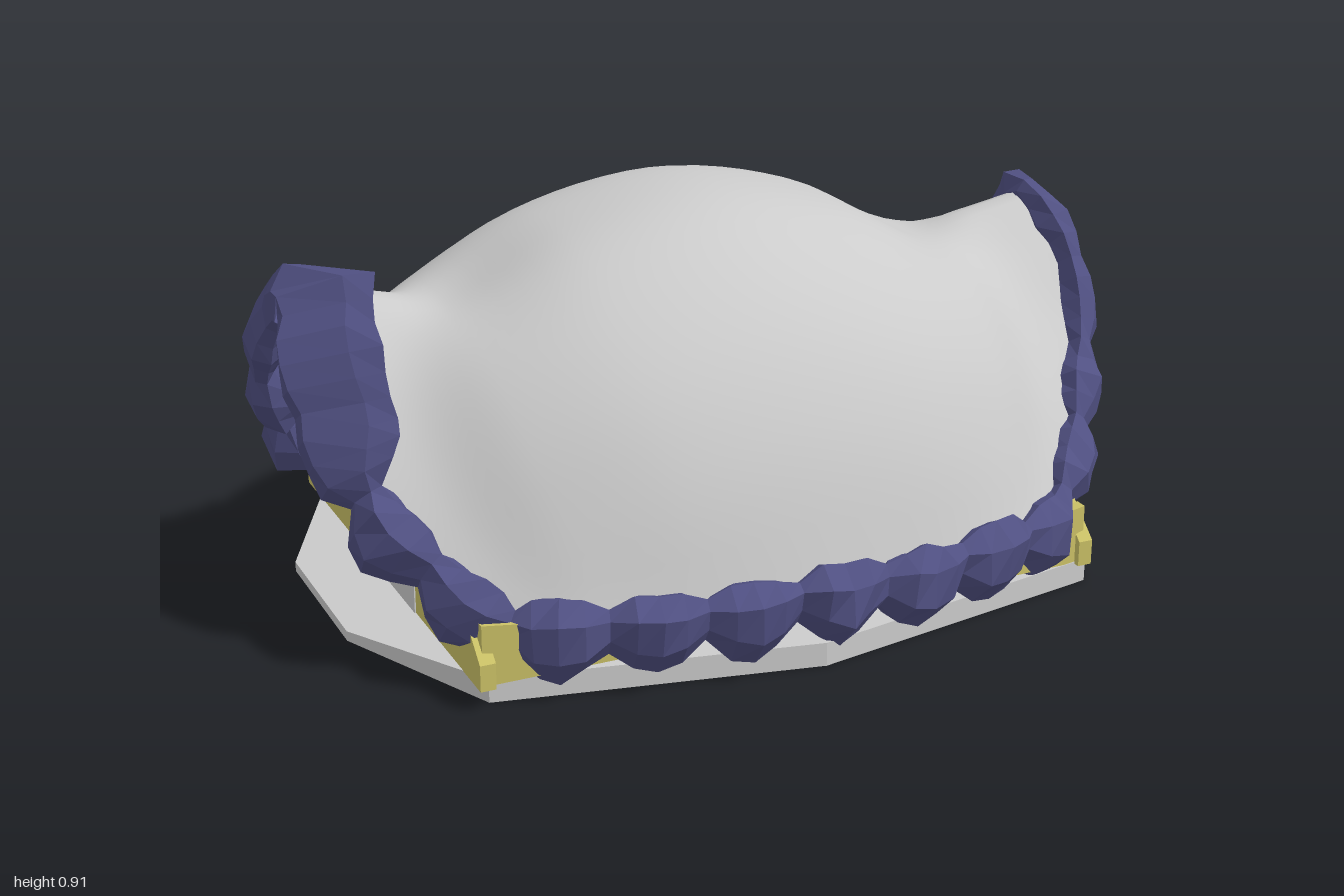
import * as THREE from 'three';
import { ConvexGeometry } from 'three/addons/geometries/ConvexGeometry.js';

const V = (x, y, z) => new THREE.Vector3(x, y, z);
const mat = (color, extra = {}) => new THREE.MeshStandardMaterial({ color, ...extra });

// Quarter of the canopy: arches from the middle to the flared end, each from ridge to foot
const ARCHES = [
  [[0, .92, 0], [0, .895, .2], [0, .81, .37], [0, .67, .52], [0, .47, .64], [0, .18, .73]],
  [[.33, .855, 0], [.33, .835, .2], [.33, .75, .37], [.32, .61, .52], [.3, .42, .63], [.27, .17, .71]],
  [[.6, .72, 0], [.6, .71, .16], [.59, .645, .32], [.57, .52, .46], [.53, .36, .57], [.48, .17, .665]],
  [[.76, .75, 0], [.76, .675, .13], [.76, .55, .27], [.73, .41, .41], [.67, .29, .52], [.58, .17, .63]],
  [[.91, .78, 0], [.94, .69, .12], [.93, .52, .24], [.87, .37, .37], [.79, .27, .47], [.67, .17, .58]],
];
// Mirrored control net, i = -4..4 along x, j = -5..5 along z
const net = (i, j) => {
  const [x, y, z] = ARCHES[Math.abs(i)][Math.abs(j)];
  return V(Math.sign(i) * x, y, Math.sign(j) * z);
};
const range = (a, b) => Array.from({ length: Math.abs(b - a) + 1 }, (_, k) => a + Math.sign(b - a) * k);

// Indexed surface from rows of points; wrap closes both directions
function gridGeometry(rows, wrap) {
  const n = rows.length, m = rows[0].length, index = [];
  const id = (r, c) => (r % n) * m + (c % m);
  for (let r = 0; r < (wrap ? n : n - 1); r++) {
    for (let c = 0; c < (wrap ? m : m - 1); c++) {
      index.push(id(r, c), id(r, c + 1), id(r + 1, c));
      index.push(id(r, c + 1), id(r + 1, c + 1), id(r + 1, c));
    }
  }
  const g = new THREE.BufferGeometry().setFromPoints(rows.flat());
  g.setIndex(index);
  g.computeVertexNormals();
  return g;
}

function canopyGeometry() {
  const arches = range(-4, 4).map(i =>
    new THREE.CatmullRomCurve3(range(-5, 5).map(j => net(i, j))).getPoints(40));
  const lines = range(0, 40).map(k =>
    new THREE.CatmullRomCurve3(arches.map(a => a[k])).getPoints(48));
  return gridGeometry(range(0, 48).map(u => lines.map(l => l[u])), false);
}

// Underside that closes the gap between an end arch and the wall below it
function soffitGeometry(side) {
  const wallTop = [.49, .48, .43, .31, .22, .12];
  const js = range(-5, 5);
  const arch = new THREE.CatmullRomCurve3(js.map(j => net(4 * side, j)));
  const wall = new THREE.CatmullRomCurve3(js.map(j =>
    V(.73 * side, wallTop[Math.abs(j)], net(4, j).z)));
  return gridGeometry([arch.getPoints(40), wall.getPoints(40)], false);
}

// Lumpy edging that follows the whole canopy border
function rimGeometry() {
  let seed = 7;
  const rand = () => (seed = (seed * 16807) % 2147483647) / 2147483647;
  const path = new THREE.CatmullRomCurve3([
    ...range(-4, 4).map(i => net(i, 5)), ...range(4, -5).map(j => net(4, j)),
    ...range(3, -4).map(i => net(i, -5)), ...range(-4, 4).map(j => net(-4, j)),
  ], true);
  const lumps = 31, steps = 4, sides = 7, rows = [];
  for (let r = 0; r < lumps * steps; r++) {
    const s = r / (lumps * steps), p = path.getPointAt(s), t = path.getTangentAt(s);
    const out = p.clone().sub(V(0, .5, 0));
    out.addScaledVector(t, -out.dot(t)).normalize();
    const down = t.clone().cross(out);
    const high = THREE.MathUtils.smoothstep(p.y, .38, .55);
    const bump = Math.sin(Math.PI * (r % steps) / steps) * (1 - .65 * high);
    // The front half of the right end folds over the canopy
    const fold = p.x < 0 && p.z > 0 ? high : 0;
    p.addScaledVector(down, .015 + .02 * bump).addScaledVector(out, .025 * high - .01);
    rows.push(range(0, sides - 1).map(k => {
      const a = k / sides * Math.PI * 2, j = .85 + .3 * rand();
      const q = p.clone()
        .addScaledVector(out, Math.cos(a) * (.03 + .05 * bump) * j)
        .addScaledVector(down, Math.sin(a) * (.06 + .045 * bump) * j);
      q.addScaledVector(V(.12, .02, .07), fold * Math.max(0, -Math.sin(a)));
      q.y = Math.max(q.y, 0);
      return q;
    }));
  }
  return gridGeometry(rows, true);
}

// Flat panel drawn in (z, y) and extruded around x = 0
function panelGeometry(points, thickness) {
  const shape = new THREE.Shape(points.map(([z, y]) => new THREE.Vector2(-z, y)));
  const g = new THREE.ExtrudeGeometry(shape, { depth: thickness, bevelEnabled: false });
  return g.translate(0, 0, -thickness / 2).rotateY(Math.PI / 2);
}

export function createModel() {
  const model = new THREE.Group();
  const add = (name, geometry, material) => {
    const mesh = new THREE.Mesh(geometry, material);
    mesh.name = name;
    model.add(mesh);
    return mesh;
  };
  const grey = mat(0xcccccc, { flatShading: true });
  const smoothGrey = mat(0xcccccc, { side: THREE.DoubleSide });
  const yellow = mat(0xcac066, { flatShading: true, side: THREE.DoubleSide });

  add('canopy', canopyGeometry(), smoothGrey);
  add('rim', rimGeometry(), mat(0x505082, { flatShading: true }));

  // Ten-sided floor slab, thinner at the two ends
  const floor = [];
  for (const sz of [-1, 1]) {
    for (const [x, z, lo, hi] of [[.94, .2, .022, .045], [.75, .6, .01, .065],
      [0, .73, .01, .065], [-.72, .58, .01, .065], [-.91, .2, .022, .045]]) {
      floor.push(V(x, lo, z * sz), V(x, hi, z * sz));
    }
  }
  add('floorSlab', new ConvexGeometry(floor), grey);

  // End walls, each with a door panel and an underside above
  const wall = [[-.62, .06], [-.62, .12], [-.48, .25], [-.2, .46], [-.1, .495],
    [.1, .495], [.2, .47], [.48, .25], [.62, .12], [.62, .06]];
  const door = [[-.16, .06], [-.16, .37], [-.09, .485], [.13, .485], [.21, .42], [.21, .06]];
  for (const [name, side] of [['left', 1], ['right', -1]]) {
    add(name + 'EndWall', panelGeometry(wall, .035), yellow).position.x = .735 * side;
    add(name + 'Door', panelGeometry(door, .041), grey).position.x = .735 * side;
    add(name + 'Soffit', soffitGeometry(side), smoothGrey);
  }

  // Low side walls that taper towards the middle of each long side
  for (const sx of [-1, 1]) {
    for (const sz of [-1, 1]) {
      const strip = [[0, .06], [.45, .1], [.45, .17], [0, .2]];
      const corner = strip.map(([d, y]) => V(sx * (.74 - d), y, sz * (.6 + d * .17)));
      const inner = corner.map(p => p.clone().add(V(0, 0, -.03 * sz)));
      add('sideWall', new ConvexGeometry([...corner, ...inner]), yellow);
    }
  }
  return model;
}
